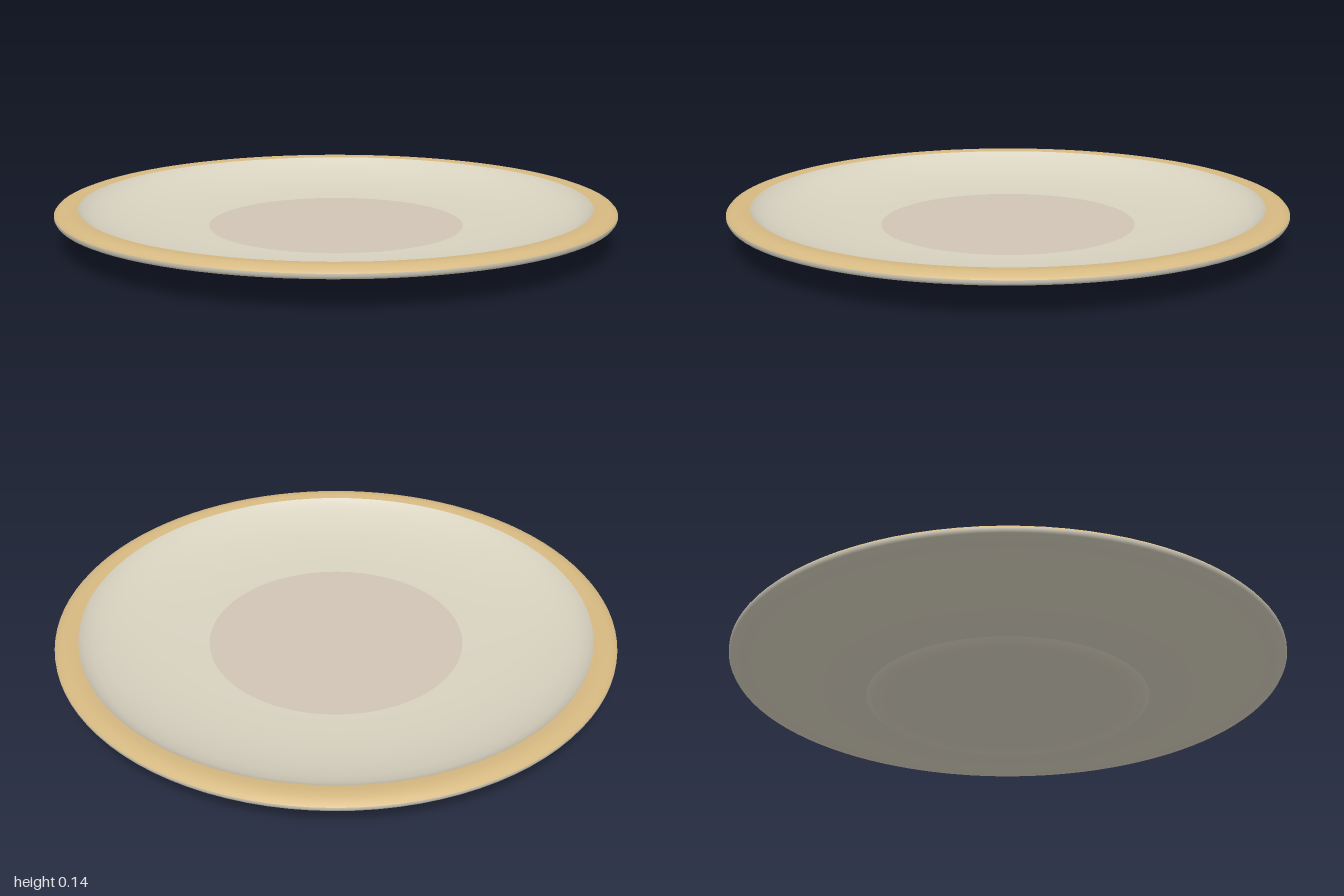
import * as THREE from 'three';

const material = (name, color) => {
  const m = new THREE.MeshStandardMaterial({ color });
  m.name = name;
  return m;
};

// Revolves a profile of [radius, height] pairs around the y axis.
// Profiles run from the bottom centre outwards, over the rim and back in.
function ring(name, profile, mat) {
  const points = profile.map(([r, y]) => new THREE.Vector2(r, y));
  const mesh = new THREE.Mesh(new THREE.LatheGeometry(points, 96), mat);
  mesh.name = name;
  return mesh;
}

export function createModel() {
  const cream = material('cream glaze', 0xd8d2c0);
  const blush = material('warm centre glaze', 0xd0c4b5);
  const gold = material('golden rim glaze', 0xd6b982);

  const plate = new THREE.Group();
  plate.name = 'plate';
  plate.add(
    // shallow recess inside the foot
    ring('base', [[0, 0.015], [0.42, 0.013], [0.46, 0.008], [0.48, 0]], cream),
    // foot, sloping underside and outer edge
    ring('foot', [[0.48, 0], [0.495, 0.003], [0.51, 0.016]], cream),
    ring('underside', [[0.51, 0.016], [0.6, 0.022], [0.68, 0.031], [0.79, 0.06],
      [0.9, 0.09], [0.96, 0.097], [0.995, 0.103], [1, 0.112], [1, 0.12]], cream),
    // rounded coloured rim
    ring('rim', [[1, 0.12], [0.992, 0.129], [0.97, 0.137], [0.945, 0.138], [0.917, 0.134]], gold),
    // curved wall of the well
    ring('well', [[0.917, 0.134], [0.9, 0.119], [0.87, 0.103], [0.82, 0.085], [0.74, 0.066],
      [0.64, 0.053], [0.54, 0.047], [0.46, 0.045]], cream),
    // flat centre
    ring('centre', [[0.46, 0.045], [0, 0.045]], blush),
  );
  return plate;
}
